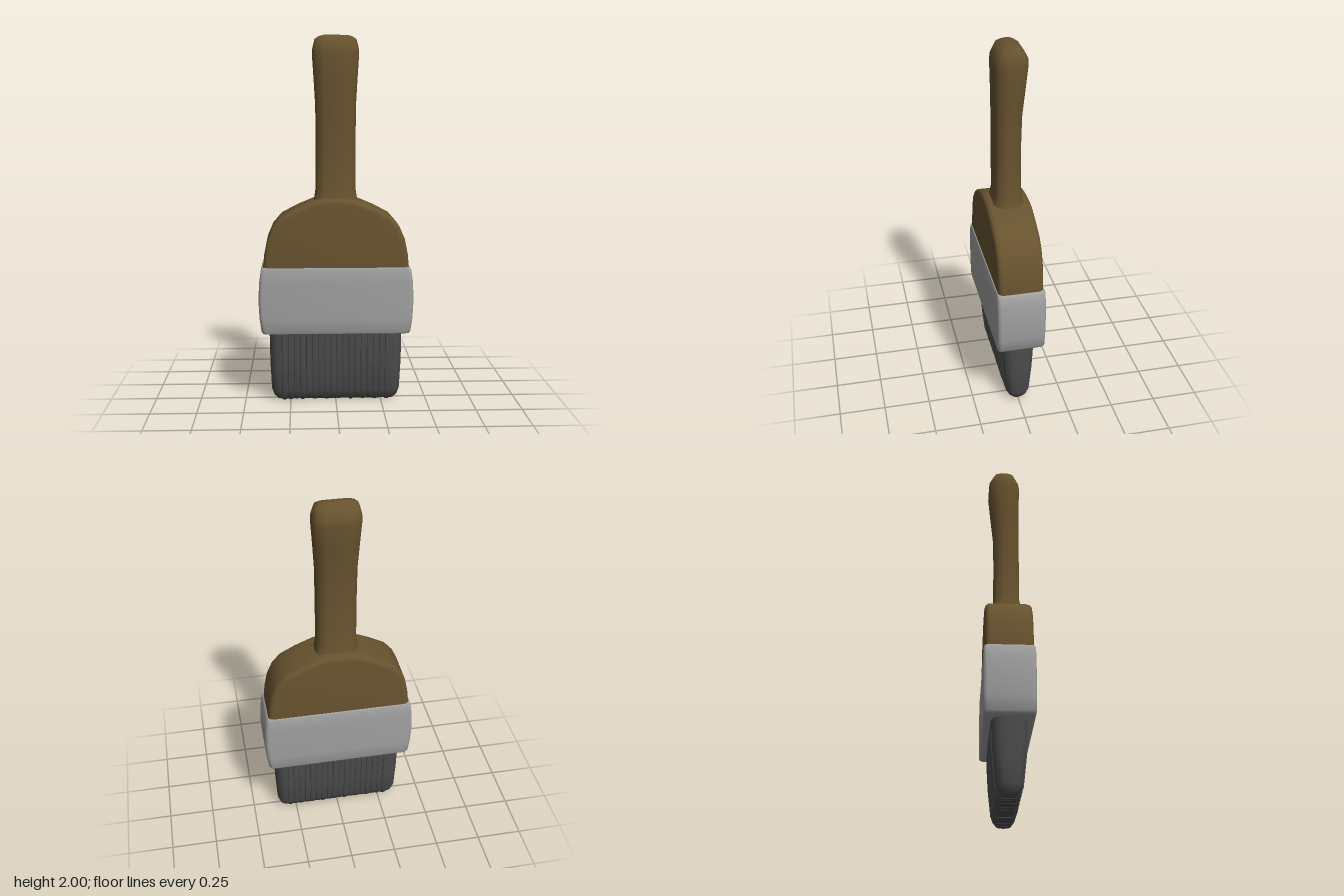
import * as THREE from 'three';
import { toCreasedNormals } from 'three/addons/utils/BufferGeometryUtils.js';

const wood = new THREE.MeshStandardMaterial({ color: 0x68532f });
const metal = new THREE.MeshStandardMaterial({ color: 0xa0a0a0 });
const hair = new THREE.MeshStandardMaterial({ color: 0x4c4c4c });

// Lofts rounded rectangles stacked bottom to top: [y, halfX, halfZ, cornerRadius, centreZ]
function loft(sections, cornerSteps = 3, crease = 0.75) {
  const pos = [], index = [], n = 4 * (cornerSteps + 1);
  for (const [y, hx, hz, r, cz = 0] of sections) {
    for (let c = 0; c < 4; c++) {
      const sx = c === 0 || c === 3 ? 1 : -1, sz = c < 2 ? 1 : -1;
      for (let k = 0; k <= cornerSteps; k++) {
        const a = (c + k / cornerSteps) * Math.PI / 2;
        pos.push(sx * (hx - r) + r * Math.cos(a), y, cz + sz * (hz - r) + r * Math.sin(a));
      }
    }
  }
  const rows = sections.length;
  for (let j = 0; j < rows - 1; j++) {
    for (let i = 0; i < n; i++) {
      const a = j * n + i, b = j * n + (i + 1) % n;
      index.push(a, a + n, b, b, a + n, b + n);
    }
  }
  // End caps
  const first = sections[0], last = sections[rows - 1], base = rows * n;
  pos.push(0, first[0], first[4] || 0, 0, last[0], last[4] || 0);
  for (let i = 0; i < n; i++) {
    const next = (i + 1) % n, top = (rows - 1) * n;
    index.push(base, i, next, base + 1, top + next, top + i);
  }
  const g = new THREE.BufferGeometry();
  g.setAttribute('position', new THREE.Float32BufferAttribute(pos, 3));
  g.setIndex(index);
  return toCreasedNormals(g, crease);
}

function part(name, geometry, material) {
  const mesh = new THREE.Mesh(geometry, material);
  mesh.name = name;
  return mesh;
}

// Small seeded generator for uneven bristles
function seeded(seed) {
  return () => (seed = (seed * 16807) % 2147483647) / 2147483647;
}

export function createModel() {
  const group = new THREE.Group();
  group.name = 'paintbrush';

  // Grip with a swelling end that leans to the back
  group.add(part('handle', loft([
    [1.06, 0.13, 0.095, 0.055],
    [1.13, 0.115, 0.08, 0.05],
    [1.18, 0.108, 0.07, 0.05],
    [1.45, 0.108, 0.069, 0.05],
    [1.62, 0.109, 0.071, 0.05, -0.002],
    [1.76, 0.117, 0.079, 0.055, -0.009],
    [1.90, 0.126, 0.087, 0.058, -0.015],
    [1.935, 0.123, 0.083, 0.056, -0.016],
    [1.978, 0.112, 0.06, 0.045, -0.016],
    [1.994, 0.088, 0.033, 0.025, -0.018],
    [2.0, 0.066, 0.012, 0.01, -0.02],
  ], 2, 1.1), wood));

  // Shoulder block with rounded rim
  const half = [[0.395, 0.6], [0.395, 0.76], [0.388, 0.83], [0.372, 0.91], [0.342, 0.98],
    [0.295, 1.035], [0.21, 1.08], [0.11, 1.122], [0.05, 1.13]];
  const outline = [...half, ...half.map(([x, y]) => [-x, y]).reverse()];
  const shape = new THREE.Shape(outline.map(([x, y]) => new THREE.Vector2(x, y)));
  const bevel = 0.028;
  const shoulder = new THREE.ExtrudeGeometry(shape, {
    depth: 0.245 - 2 * bevel, bevelSize: bevel, bevelThickness: bevel, bevelOffset: -bevel, bevelSegments: 4,
  });
  shoulder.translate(0, 0, -0.1225 + bevel);
  group.add(part('shoulder', toCreasedNormals(shoulder, 0.7), wood));

  // Metal band with bowed ends
  group.add(part('ferrule', loft([
    [0.392, 0.385, 0.115, 0.015],
    [0.396, 0.398, 0.126, 0.02],
    [0.408, 0.406, 0.131, 0.022],
    [0.48, 0.416, 0.132, 0.022],
    [0.577, 0.421, 0.132, 0.022],
    [0.675, 0.417, 0.132, 0.022],
    [0.745, 0.407, 0.131, 0.022],
    [0.757, 0.4, 0.127, 0.02],
    [0.762, 0.388, 0.116, 0.015],
  ], 4), metal));

  // Bristle mass with rounded ends and a tapering tip
  const bristles = new THREE.Group();
  bristles.name = 'bristles';
  bristles.add(part('bristleCore', loft([
    [0.004, 0.325, 0.034, 0.03],
    [0.025, 0.343, 0.052, 0.042],
    [0.06, 0.355, 0.065, 0.05],
    [0.2, 0.362, 0.08, 0.06],
    [0.32, 0.365, 0.087, 0.065],
    [0.45, 0.365, 0.088, 0.065],
  ], 5, 1.1), hair));

  // Slim strips standing proud of the mass leave grooves between them
  const random = seeded(7), count = 18, pitch = 0.6 / count;
  for (let i = 0; i < count; i++) {
    const w = pitch / 2 - 0.002, tip = i % 2 ? 0.004 * random() : 0.006 * random();
    const proud = 0.003 + 0.003 * random();
    const strip = part('bristleStrip', loft([
      [tip, w - 0.004, 0.032 + proud, 0.005],
      [0.025, w, 0.052 + proud, 0.006],
      [0.06, w, 0.065 + proud, 0.006],
      [0.2, w, 0.08 + proud, 0.006],
      [0.32, w, 0.087 + proud, 0.006],
      [0.45, w, 0.088 + proud, 0.006],
    ], 2, 1.1), hair);
    strip.position.x = -0.3 + (i + 0.5) * pitch;
    bristles.add(strip);
  }
  group.add(bristles);
  return group;
}
